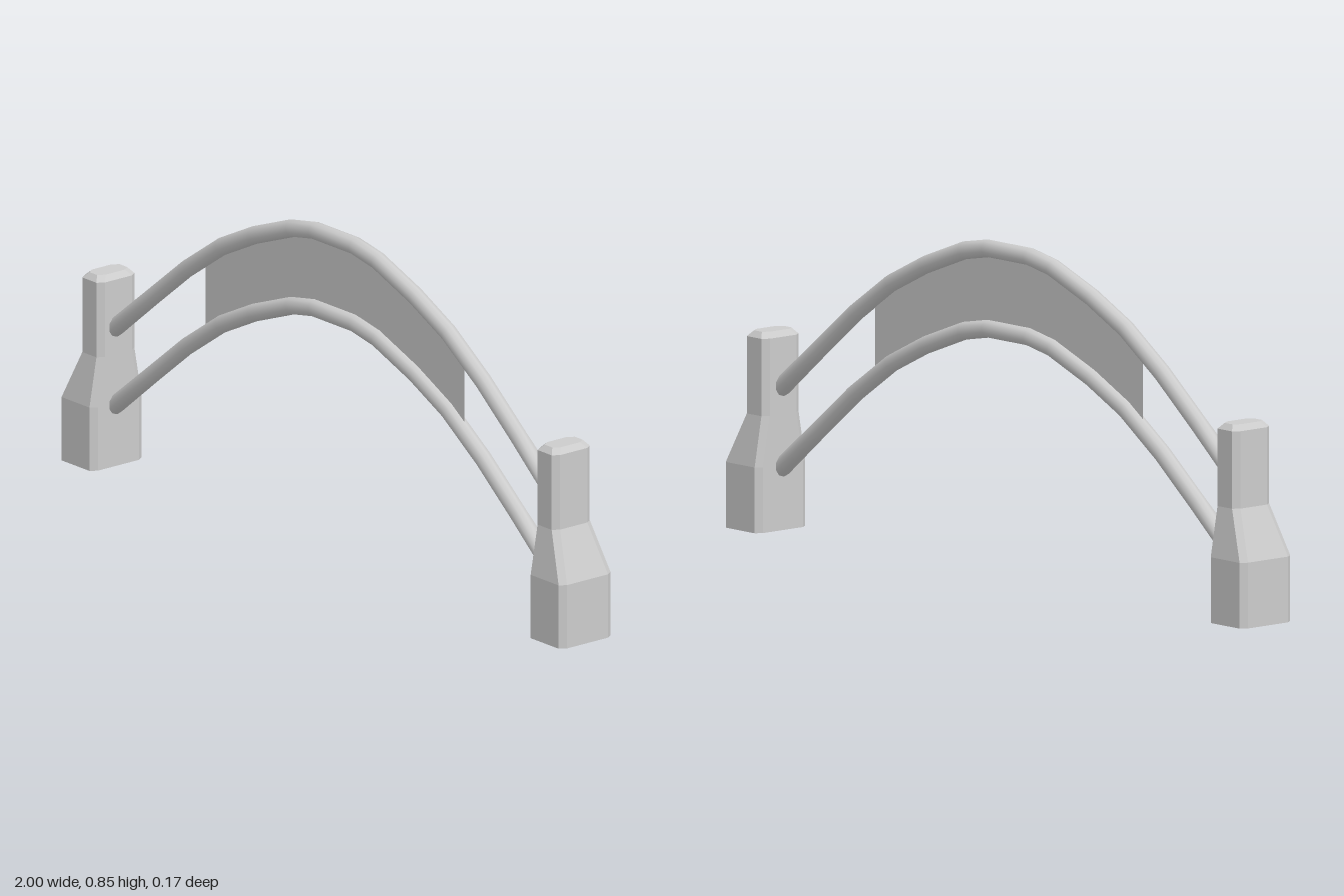
import * as THREE from 'three';

const smooth = new THREE.MeshStandardMaterial({ color: 0xcccccc });
const flat = new THREE.MeshStandardMaterial({ color: 0xcccccc, flatShading: true });
const sheet = new THREE.MeshStandardMaterial({ color: 0xcccccc, side: THREE.DoubleSide });

// Skin a list of closed rings (equal point counts) and cap both ends
function loft(rings) {
  const n = rings[0].length, last = (rings.length - 1) * n, index = [];
  for (let i = 0; i < last; i += n) {
    for (let j = 0; j < n; j++) {
      const a = i + j, b = i + (j + 1) % n;
      index.push(a, b, b + n, a, b + n, a + n);
    }
  }
  for (let j = 1; j < n - 1; j++) {
    index.push(0, j + 1, j, last, last + j, last + j + 1);
  }
  const geo = new THREE.BufferGeometry();
  geo.setAttribute('position', new THREE.Float32BufferAttribute(rings.flat(2), 3));
  geo.setIndex(index);
  geo.computeVertexNormals();
  return geo;
}

function addMesh(group, name, geo, material) {
  const mesh = new THREE.Mesh(geo, material);
  mesh.name = name;
  group.add(mesh);
}

// Rectangle with chamfered corners, at height y
function postRing(y, x0, x1, hz, cx = 0.012, cz = 0.018) {
  return [
    [x1, y, hz - cz], [x1, y, cz - hz], [x1 - cx, y, -hz], [x0 + cx, y, -hz],
    [x0, y, cz - hz], [x0, y, hz - cz], [x0 + cx, y, hz], [x1 - cx, y, hz],
  ];
}

// Post: broad foot, sloping shoulder on the outer side, bevelled top
function postGeometry(side) {
  const levels = [
    [0, 0.865, 1, 0.086],
    [0.17, 0.865, 1, 0.086],
    [0.30, 0.865, 0.945, 0.063],
    [0.50, 0.865, 0.945, 0.063],
    [0.515, 0.878, 0.932, 0.05],
  ];
  return loft(levels.map(([y, inner, outer, hz]) => side > 0
    ? postRing(y, inner, outer, hz)
    : postRing(y, -outer, -inner, hz)));
}

// Half of the arch centre line, mirrored to the full span
const half = [[0.08, 0.832], [0.17, 0.815], [0.32, 0.758], [0.45, 0.694], [0.59, 0.598], [0.73, 0.485], [0.89, 0.355]];
const arch = [...half.map(([x, y]) => [-x, y]).reverse(), ...half];
const DROP = 0.208, RAIL_Z = 0.003;

// Round rail along the arch, slightly wider in depth near the posts
function railGeometry(drop) {
  const sides = 10, r = 0.023;
  return loft(arch.map(([x, y], i) => {
    const p = arch[Math.max(i - 1, 0)], q = arch[Math.min(i + 1, arch.length - 1)];
    const len = Math.hypot(q[0] - p[0], q[1] - p[1]);
    const nx = -(q[1] - p[1]) / len, ny = (q[0] - p[0]) / len;
    const rz = r + Math.max(0, Math.abs(x) - 0.73) * 0.04;
    return Array.from({ length: sides }, (_, k) => {
      const a = k / sides * Math.PI * 2, c = Math.cos(a) * r;
      return [x + nx * c, y - drop + ny * c, RAIL_Z + Math.sin(a) * rz];
    });
  }));
}

// Thin panel filling the middle between the rails
function panelGeometry() {
  const edge = [[-0.515, 0.65], ...arch.filter(([x]) => Math.abs(x) < 0.5), [0.515, 0.65]];
  const outline = [...edge.map(([x, y]) => [x, y - DROP]), ...edge.slice().reverse()];
  const shape = new THREE.Shape(outline.map(([x, y]) => new THREE.Vector2(x, y)));
  return new THREE.ShapeGeometry(shape).translate(0, 0, RAIL_Z);
}

export function createModel() {
  const group = new THREE.Group();
  group.name = 'archway';
  addMesh(group, 'leftPost', postGeometry(1), flat);
  addMesh(group, 'rightPost', postGeometry(-1), flat);
  addMesh(group, 'upperRail', railGeometry(0), smooth);
  addMesh(group, 'lowerRail', railGeometry(DROP), smooth);
  addMesh(group, 'panel', panelGeometry(), sheet);
  return group;
}
